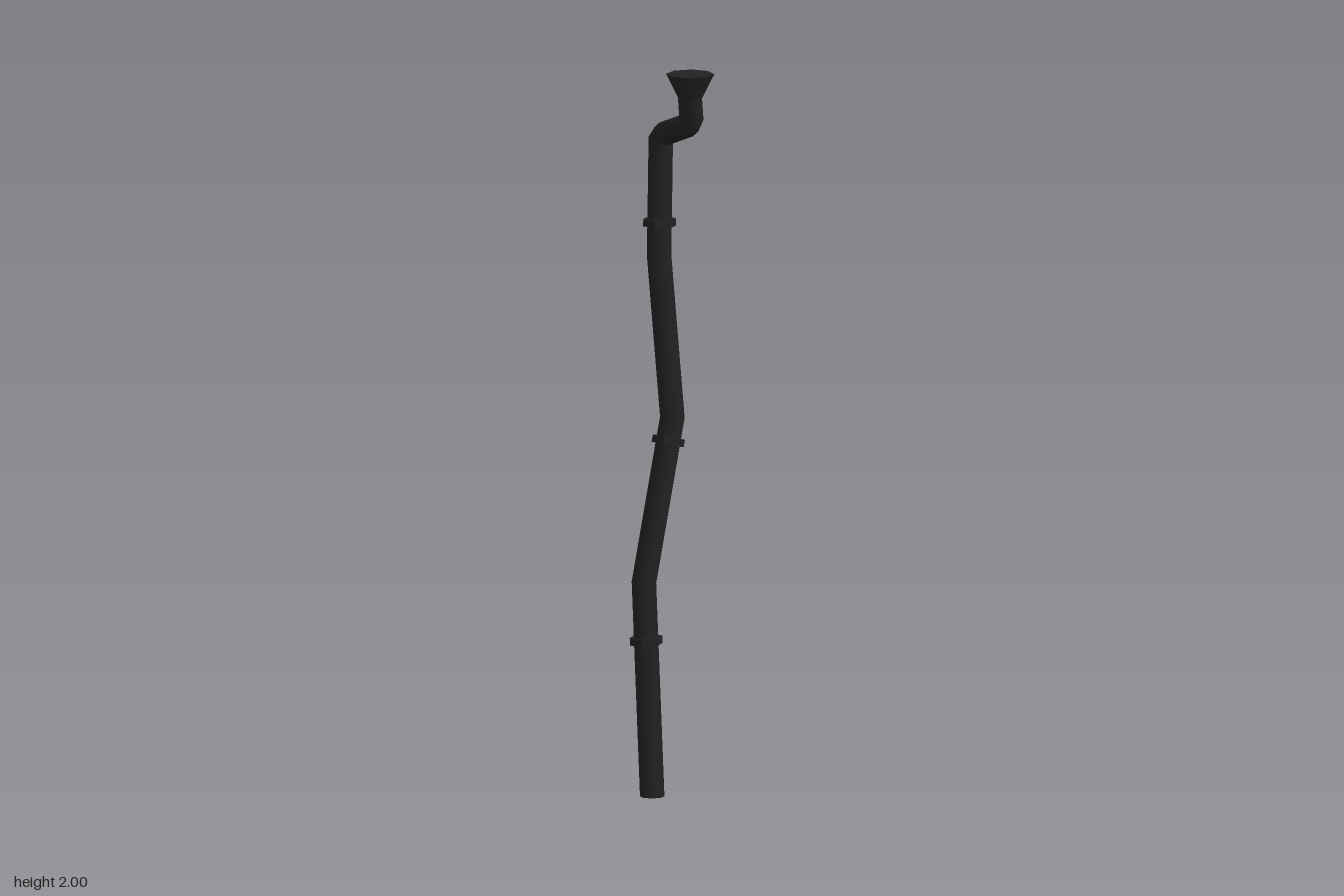
import * as THREE from 'three';

const SIDES = 8;
const RADIUS = 0.033;

// Octagonal tube along a path; each ring is slid onto the mitre plane of its bend.
function mitredPipe(path) {
  const up = new THREE.Vector3(0, 1, 0);
  let ring = [];
  for (let i = 0; i < SIDES; i++) {
    const a = (i / SIDES) * Math.PI * 2;
    ring.push(new THREE.Vector3(Math.sin(a) * RADIUS, 0, Math.cos(a) * RADIUS).add(path[0]));
  }
  const rings = [ring];
  for (let k = 1; k < path.length; k++) {
    const dir = path[k].clone().sub(path[k - 1]).normalize();
    const normal = k < path.length - 1
      ? path[k + 1].clone().sub(path[k]).normalize().add(dir).normalize()
      : up;
    ring = ring.map((p) => {
      const t = path[k].clone().sub(p).dot(normal) / dir.dot(normal);
      return p.clone().addScaledVector(dir, t);
    });
    rings.push(ring);
  }
  const positions = rings.flat().flatMap((p) => p.toArray());
  const index = [];
  for (let k = 0; k < rings.length - 1; k++) {
    for (let i = 0; i < SIDES; i++) {
      const a = k * SIDES + i;
      const b = k * SIDES + ((i + 1) % SIDES);
      index.push(a, b, b + SIDES, a, b + SIDES, a + SIDES);
    }
  }
  const geometry = new THREE.BufferGeometry();
  geometry.setAttribute('position', new THREE.Float32BufferAttribute(positions, 3));
  geometry.setIndex(index);
  geometry.computeVertexNormals();
  return geometry;
}

export function createModel() {
  const model = new THREE.Group();
  model.name = 'drainpipe';
  const smooth = new THREE.MeshStandardMaterial({ color: 0x222224 });
  const faceted = new THREE.MeshStandardMaterial({ color: 0x222224, flatShading: true });

  const add = (name, geometry, material) => {
    const mesh = new THREE.Mesh(geometry, material);
    mesh.name = name;
    model.add(mesh);
    return mesh;
  };

  // Crooked pipe with an offset elbow at the top
  const path = [
    [-0.086, 0, 0.023],
    [-0.086, 0.59, 0.053],
    [-0.086, 1.03, -0.05],
    [-0.086, 1.48, -0.002],
    [-0.086, 1.795, -0.008],
    [-0.07, 1.815, -0.008],
    [0.032, 1.853, 0.001],
    [0.05, 1.878, 0.004],
    [0.058, 1.945, 0.017],
  ].map((p) => new THREE.Vector3(...p));
  add('pipe', mitredPipe(path), smooth);

  // Closed foot of the pipe
  const foot = add('pipeFoot', new THREE.CircleGeometry(RADIUS, SIDES), faceted);
  foot.rotation.x = Math.PI / 2;
  foot.rotation.z = Math.PI / 2;
  foot.position.copy(path[0]);

  // Hexagonal collars, tilted to follow the pipe: [height, path segment]
  for (const [y, k] of [[0.43, 0], [0.967, 1], [1.57, 3]]) {
    const a = path[k];
    const b = path[k + 1];
    const collar = add('collar', new THREE.CylinderGeometry(0.045, 0.045, 0.02, 6), faceted);
    collar.geometry.rotateY(Math.PI / 2);
    collar.position.lerpVectors(a, b, (y - a.y) / (b.y - a.y));
    collar.quaternion.setFromUnitVectors(
      new THREE.Vector3(0, 1, 0), b.clone().sub(a).normalize());
  }

  // Flared, closed head
  const head = add('funnelHead', new THREE.CylinderGeometry(0.065, 0.033, 0.065, SIDES), faceted);
  head.position.set(0.061, 1.9675, 0.018);

  return model;
}
